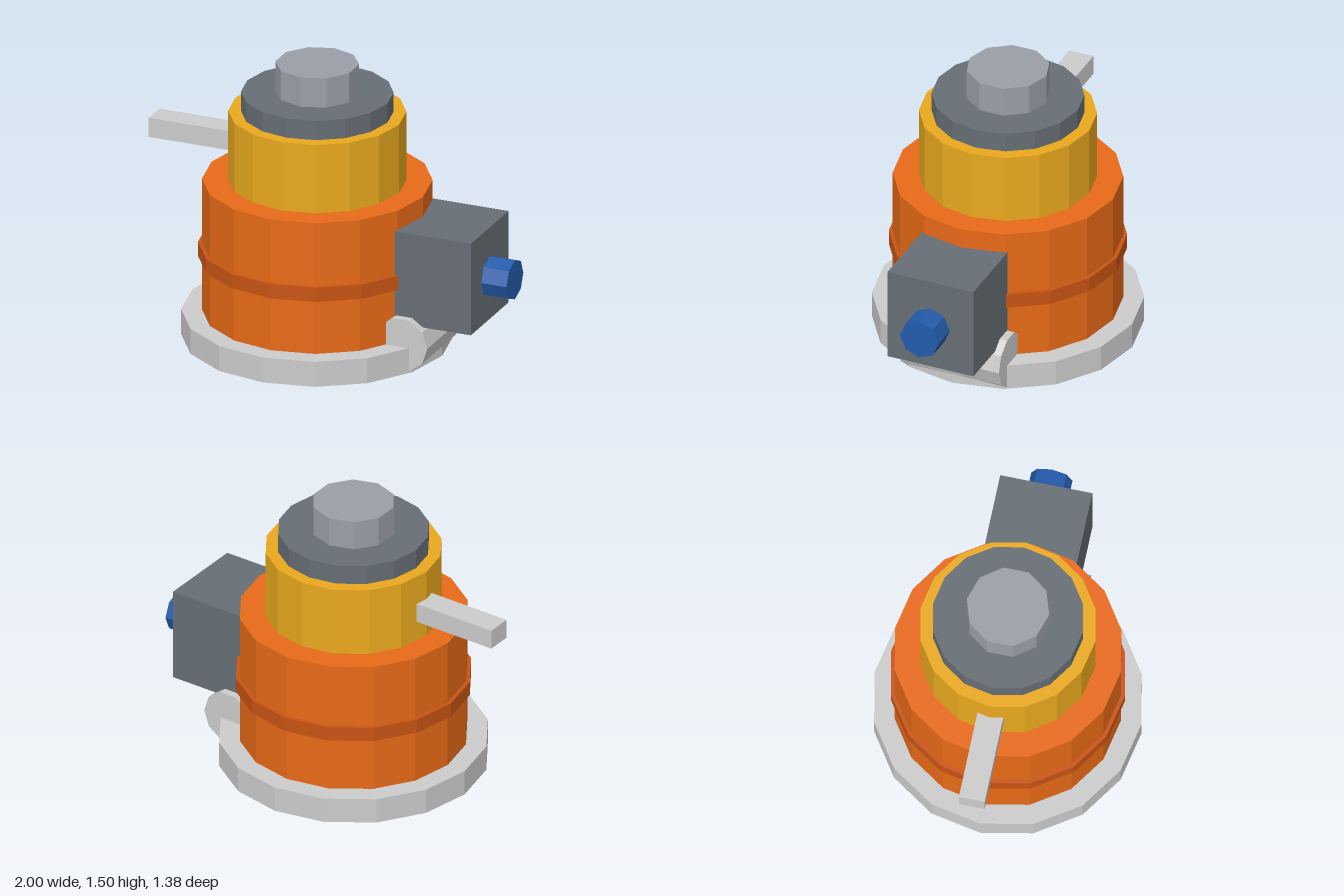
import * as THREE from 'three';

const AXIS_X = -0.095; // vertical axis shared by the round parts

const mat = (color) => new THREE.MeshStandardMaterial({ color, flatShading: true });
const GREY = mat(0xcccccc), ORANGE = mat(0xe86a17), YELLOW = mat(0xeaa91e);
const SLATE = mat(0x666e75), STEEL = mat(0x9a9fa8), BLUE = mat(0x235bab);
const BAND = mat(0xc95414);

export function createModel() {
  const model = new THREE.Group();
  model.name = 'rotaryUnit';

  const add = (name, geometry, material, x, y, z) => {
    const mesh = new THREE.Mesh(geometry, material);
    mesh.name = name;
    mesh.position.set(x, y, z);
    model.add(mesh);
    return mesh;
  };

  // Stacked round parts: name, radius, bottom, top, sides, material
  const stack = [
    ['baseFlange', 0.692, 0, 0.137, 16, GREY],
    ['lowerBody', 0.586, 0.137, 0.855, 16, ORANGE],
    ['upperCollar', 0.453, 0.855, 1.23, 16, YELLOW],
    ['capDisc', 0.388, 1.23, 1.335, 16, SLATE],
    ['topKnob', 0.214, 1.335, 1.495, 10, STEEL],
  ];
  for (const [name, r, y0, y1, sides, material] of stack) {
    add(name, new THREE.CylinderGeometry(r, r, y1 - y0, sides), material, AXIS_X, (y0 + y1) / 2, 0);
  }

  // Clamp band round the body, open where the side box sits
  const bandProfile = [[0.56, 0.43], [0.606, 0.43], [0.606, 0.508], [0.56, 0.508]]
    .map(([r, y]) => new THREE.Vector2(r, y));
  add('clampBand',
    new THREE.LatheGeometry(bandProfile, 14, Math.PI * 0.625, Math.PI * 1.75),
    BAND, AXIS_X, 0, 0);

  // Side box with its octagonal plug
  add('sideBox', new THREE.BoxGeometry(0.425, 0.503, 0.478), SLATE, 0.6475, 0.4965, 0);
  const plug = add('sidePlug', new THREE.CylinderGeometry(0.107, 0.107, 0.16, 8), BLUE, 0.92, 0.483, 0);
  plug.rotation.z = -Math.PI / 2;

  // Cross roller under the side box, a vertex pointing outward
  const roller = add('crossRoller',
    new THREE.CylinderGeometry(0.146, 0.146, 0.56, 10, 1, false, Math.PI / 2),
    GREY, 0.49, 0.148, 0);
  roller.rotation.x = Math.PI / 2;

  // Lever bar
  add('leverBar', new THREE.BoxGeometry(0.465, 0.105, 0.134), GREY, -0.7675, 1.017, 0);

  return model;
}
